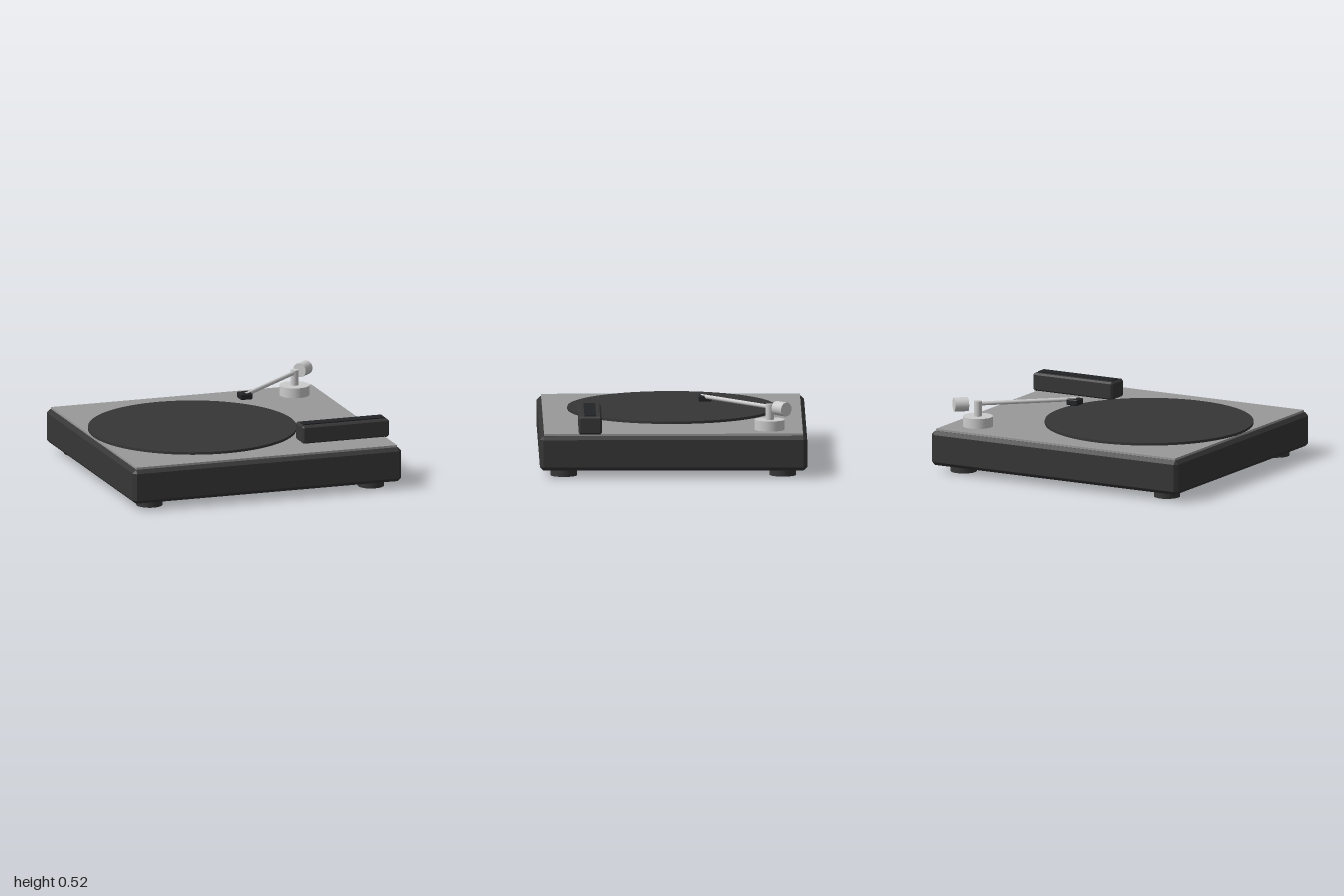
import * as THREE from 'three';
import { ConvexGeometry } from 'three/addons/geometries/ConvexGeometry.js';

const paint = (color) => new THREE.MeshStandardMaterial({ color });

// Box with flat chamfers on every edge, given its size and chamfer width
function chamferBox(w, h, d, c) {
  const points = [];
  for (const x of [-1, 1]) for (const y of [-1, 1]) for (const z of [-1, 1]) {
    for (let axis = 0; axis < 3; axis++) {
      const inset = [c, c, c];
      inset[axis] = 0;
      points.push(new THREE.Vector3(
        x * (w / 2 - inset[0]), y * (h / 2 - inset[1]), z * (d / 2 - inset[2])));
    }
  }
  return new ConvexGeometry(points);
}

export function createModel() {
  const model = new THREE.Group();
  model.name = 'turntable';
  const dark = paint(0x363636);
  const black = paint(0x222326);
  const deckGrey = paint(0x999999);
  const metal = paint(0xcccccc);

  const add = (name, geometry, material, x, y, z) => {
    const mesh = new THREE.Mesh(geometry, material);
    mesh.name = name;
    mesh.position.set(x, y, z);
    model.add(mesh);
    return mesh;
  };
  // Upright cylinder from y0 to y1
  const disc = (name, r, y0, y1, material, x, z, sides = 32) =>
    add(name, new THREE.CylinderGeometry(r, r, y1 - y0, sides), material, x, (y0 + y1) / 2, z);

  // Plinth, deck plate and platter
  add('plinth', chamferBox(2, 0.245, 1.88, 0.025), dark, 0, 0.1755, 0);
  add('deckPlate', new THREE.BoxGeometry(1.94, 0.03, 1.82), deckGrey, 0, 0.298, 0);
  disc('platter', 0.734, 0.313, 0.331, dark, -0.236, 0, 96);

  // Feet
  for (const x of [-0.825, 0.825]) for (const z of [-0.77, 0.77]) {
    disc('foot', 0.093, 0, 0.06, dark, x, z);
  }

  // Control block with a raised strip on top
  add('controlBlock', chamferBox(0.645, 0.128, 0.162, 0.012), dark, 0.677, 0.375, 0.586);
  add('controlStrip', new THREE.BoxGeometry(0.605, 0.016, 0.082), black, 0.677, 0.438, 0.586);

  // Tonearm base and pivot
  const pivot = new THREE.Vector3(0.762, 0.473, -0.678);
  disc('tonearmBase', 0.106, 0.312, 0.384, metal, pivot.x, pivot.z, 48);
  disc('tonearmPivot', 0.029, 0.38, 0.493, metal, pivot.x, pivot.z);

  // Horizontal rods: turn a cylinder's axis onto the arm direction
  const tip = new THREE.Vector3(0.236, 0.473, -0.207);
  const direction = pivot.clone().sub(tip).normalize();
  const rod = (name, r, length, centre) => {
    const mesh = add(name, new THREE.CylinderGeometry(r, r, length, 32), metal,
      centre.x, centre.y, centre.z);
    mesh.quaternion.setFromUnitVectors(new THREE.Vector3(0, 1, 0), direction);
  };
  rod('tonearm', 0.0145, pivot.distanceTo(tip), pivot.clone().lerp(tip, 0.5));
  rod('counterweight', 0.05, 0.1, pivot.clone().addScaledVector(direction, 0.123));

  // Headshell at the end of the arm
  add('headshell', chamferBox(0.09, 0.043, 0.09, 0.006), black, 0.235, 0.46, -0.23);

  return model;
}
